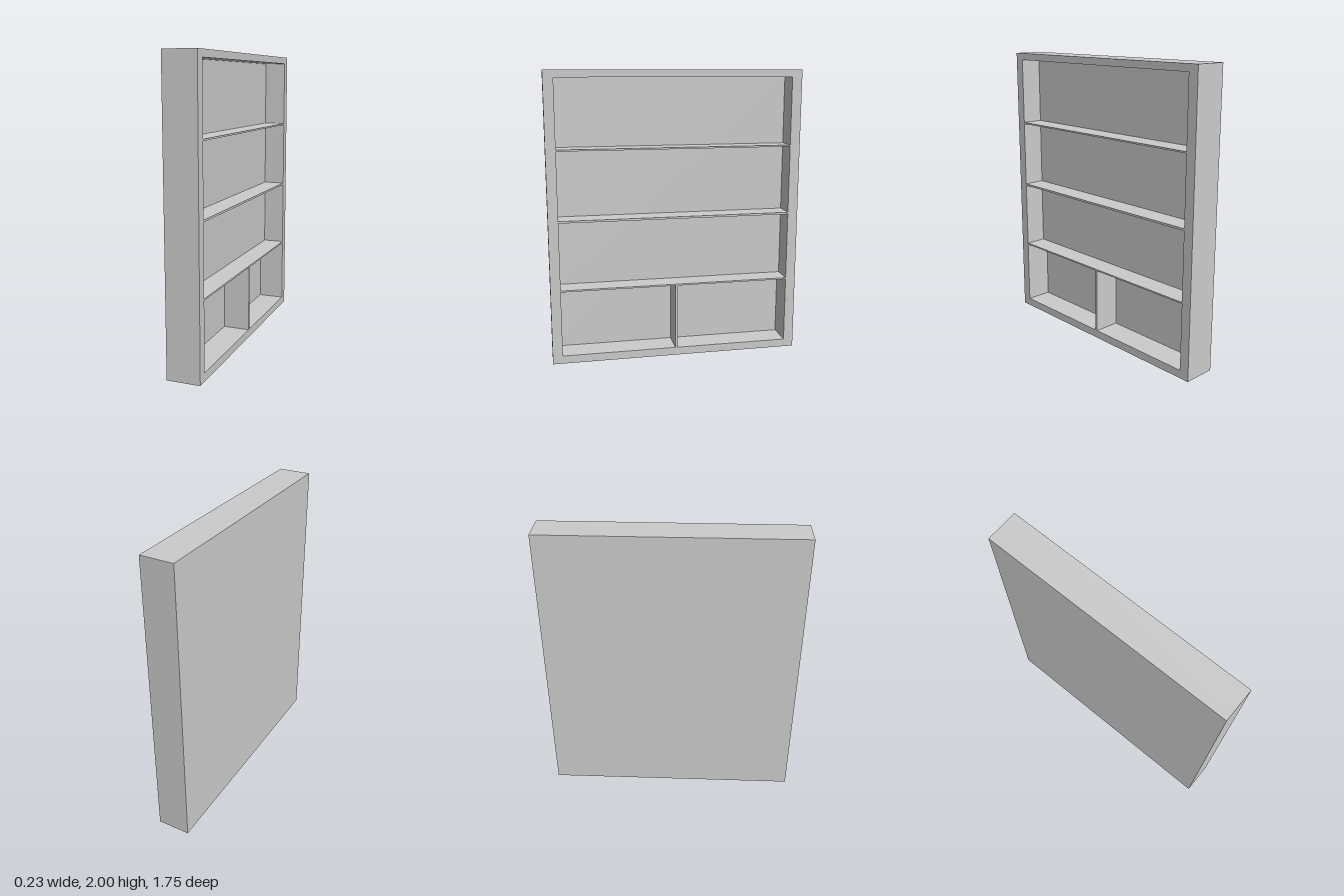
import * as THREE from 'three';

const material = new THREE.MeshStandardMaterial({ color: 0xcccccc, flatShading: true });

// Cabinet extents: the open side faces +x
const BACK = -0.113, OPEN = 0.113, HALF_W = 0.873, HEIGHT = 2;
const IN_W = 0.804, IN_BOTTOM = 0.056, IN_TOP = 1.952;
const DEEP = -0.075;    // back of the two lower compartments
const SHALLOW = -0.04;  // back of the three upper compartments
const SHELVES = [[0.517, 0.528], [0.997, 1.011], [1.477, 1.488]];

// Box given by its limits on each axis
function slab(name, x0, x1, y0, y1, z0, z1) {
  const mesh = new THREE.Mesh(new THREE.BoxGeometry(x1 - x0, y1 - y0, z1 - z0), material);
  mesh.position.set((x0 + x1) / 2, (y0 + y1) / 2, (z0 + z1) / 2);
  mesh.name = name;
  return mesh;
}

function rectangle(PathType, halfWidth, y0, y1) {
  const path = new PathType();
  path.moveTo(-halfWidth, y0);
  path.lineTo(halfWidth, y0);
  path.lineTo(halfWidth, y1);
  path.lineTo(-halfWidth, y1);
  path.closePath();
  return path;
}

export function createModel() {
  const group = new THREE.Group();
  group.name = 'shelfCabinet';

  // Outer frame, extruded along x around one large opening
  const outline = rectangle(THREE.Shape, HALF_W, 0, HEIGHT);
  outline.holes.push(rectangle(THREE.Path, IN_W, IN_BOTTOM, IN_TOP));
  const frameGeometry = new THREE.ExtrudeGeometry(outline, { depth: OPEN - DEEP, bevelEnabled: false });
  frameGeometry.rotateY(Math.PI / 2);
  frameGeometry.translate(DEEP, 0, 0);
  const frame = new THREE.Mesh(frameGeometry, material);
  frame.name = 'frame';
  group.add(frame);

  // Back panel, and the thicker backing behind the upper compartments
  group.add(slab('backPanel', BACK, DEEP, 0, HEIGHT, -HALF_W, HALF_W));
  group.add(slab('upperBacking', DEEP, SHALLOW, SHELVES[0][1], IN_TOP, -IN_W, IN_W));

  // Shelves; the lowest reaches the deeper back panel
  SHELVES.forEach(([y0, y1], i) => {
    group.add(slab('shelf' + (i + 1), i === 0 ? DEEP : SHALLOW, OPEN, y0, y1, -IN_W, IN_W));
  });

  // Upright between the two lower compartments
  group.add(slab('divider', DEEP, OPEN, IN_BOTTOM, SHELVES[0][0], -0.008, 0.008));

  return group;
}
